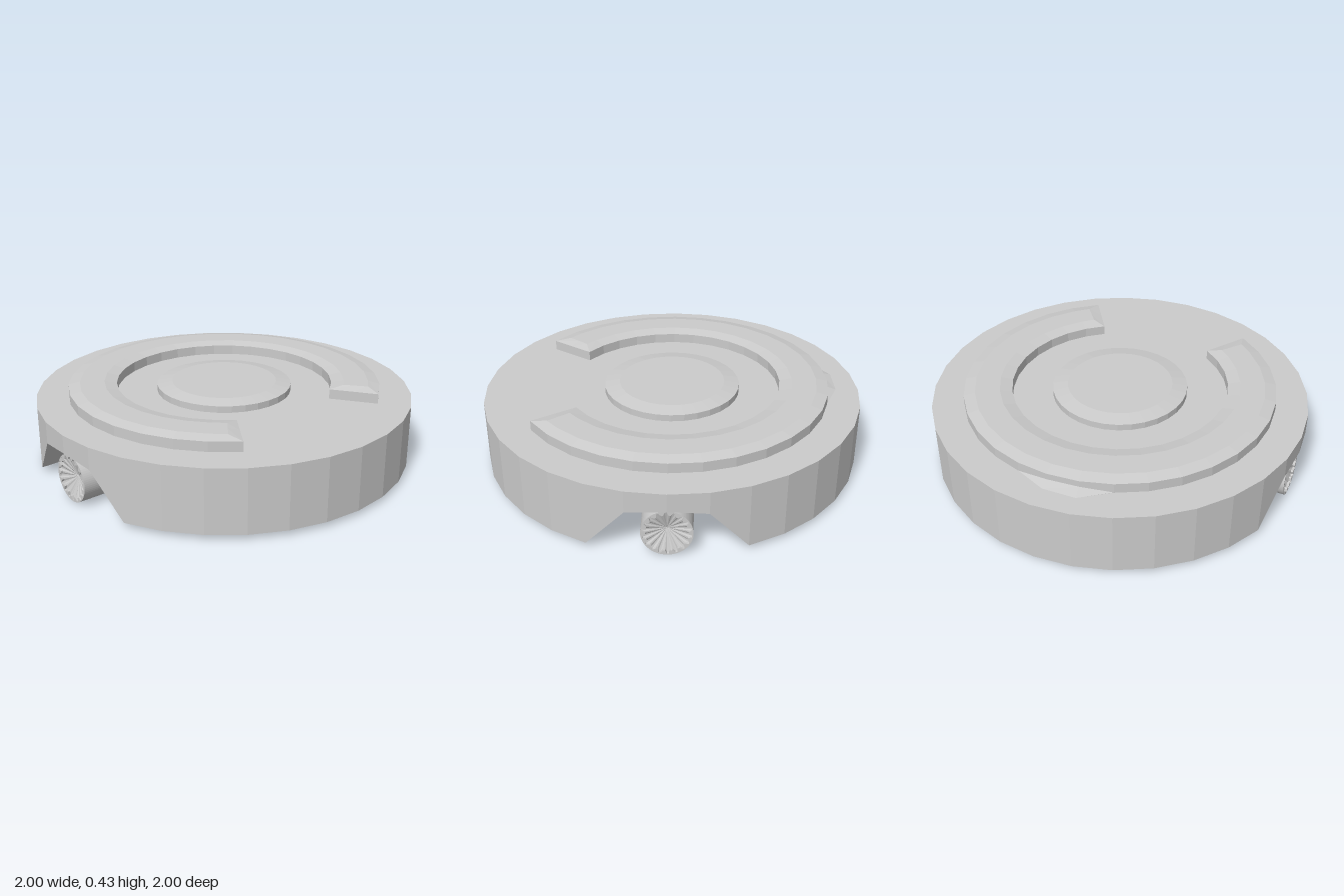
import * as THREE from 'three';

const SEG = 32;
const material = new THREE.MeshStandardMaterial({ color: 0xcccccc, flatShading: true });

// Point at radius r, height y; step k counts 1/n turns from the front (+z) toward +x
const polar = (r, y, k, n = SEG) => {
  const a = (k / n) * Math.PI * 2;
  return [r * Math.sin(a), y, r * Math.cos(a)];
};

// Skin a grid of points: rows run from the bottom up the outside, columns run round the axis
function loft(name, rows) {
  const pos = [];
  for (let i = 0; i < rows.length - 1; i++) {
    for (let j = 0; j < rows[i].length - 1; j++) {
      const a = rows[i][j], b = rows[i][j + 1], c = rows[i + 1][j + 1], d = rows[i + 1][j];
      const same = (p, q) => Math.hypot(p[0] - q[0], p[1] - q[1], p[2] - q[2]) < 1e-6;
      for (const [p, q, r] of [[a, b, c], [a, c, d]]) {
        if (!same(p, q) && !same(q, r) && !same(p, r)) pos.push(...p, ...q, ...r);
      }
    }
  }
  const geometry = new THREE.BufferGeometry();
  geometry.setAttribute('position', new THREE.Float32BufferAttribute(pos, 3));
  geometry.computeVertexNormals();
  const mesh = new THREE.Mesh(geometry, material);
  mesh.name = name;
  return mesh;
}

// Full ring of points; radius and height may depend on the step
const ring = (r, y, n = SEG) => Array.from({ length: n + 1 }, (_, k) =>
  polar(typeof r === 'function' ? r(k) : r, typeof y === 'function' ? y(k) : y, k, n));

// Main disc with a hollow underside and arched notches at front and back
function makeBody() {
  const notch = [0.265, 0.245, 0.025];
  const rimY = (k) => {
    const m = k % 16;
    return notch[Math.min(m, 16 - m, 2)];
  };
  return loft('body', [ring(0, 0.24), ring(1, rimY), ring(1, 0.36), ring(0, 0.36)]);
}

// Raised C-shaped band, open toward +x, with bevelled edges and ends
function makeBand() {
  const section = [[0.83, 0.355], [0.83, 0.412], [0.77, 0.425], [0.64, 0.425], [0.575, 0.412], [0.575, 0.355]];
  const first = 11, last = 37, bevel = 0.42;
  const rows = section.map(([r, y], i) => {
    const inset = i === 2 || i === 3 ? bevel : 0;
    const row = [];
    for (let k = first; k <= last; k++) {
      const step = k === first ? k + inset : k === last ? k - inset : k;
      row.push(polar(r, y, step));
    }
    return row;
  });
  // close the ends onto the middle of the section
  const capped = rows.map((row, i) => {
    const twin = rows[5 - i];
    const mid = (p, q) => p.map((v, n) => (v + q[n]) / 2);
    return [mid(row[0], twin[0]), ...row, mid(row.at(-1), twin.at(-1))];
  });
  return loft('raisedBand', capped);
}

// Small sloping lip at the foot of the band, on the -x side
function makeLip() {
  const low = [0.83, 0.88, 0.89, 0.83], high = [0.362, 0.378, 0.378, 0.362];
  return loft('bandLip', [
    low.map((r, i) => polar(r, 0.361, 23 + i)),
    high.map((y, i) => polar(0.83, y, 23 + i)),
  ]);
}

// Low bevelled button in the middle
function makeButton() {
  return loft('centreButton', [ring(0.36, 0.355), ring(0.36, 0.395), ring(0.28, 0.409), ring(0, 0.409)]);
}

// Roller with a notched rim and a sunken fan of spokes on its outer face
function makeRoller() {
  const n = 72, len = 0.21;
  const toothed = (k) => (k % 4 < 2 ? 0.117 : 0.1);
  const roller = loft('roller', [
    ring(0, 0, n), ring(0.123, 0, n), ring(0.123, len, n),
    ring(toothed, len, n), ring(toothed, len - 0.012, n), ring(0, len - 0.045, n),
  ]);
  roller.rotation.x = Math.PI / 2;
  roller.position.set(0, 0.123, 0.76);
  return roller;
}

export function createModel() {
  const model = new THREE.Group();
  model.name = 'disc';
  model.add(makeBody(), makeBand(), makeLip(), makeButton());
  ['frontRoller', 'backRoller'].forEach((name, i) => {
    const group = new THREE.Group();
    group.name = name;
    group.add(makeRoller());
    group.rotation.y = i * Math.PI;
    model.add(group);
  });
  return model;
}
